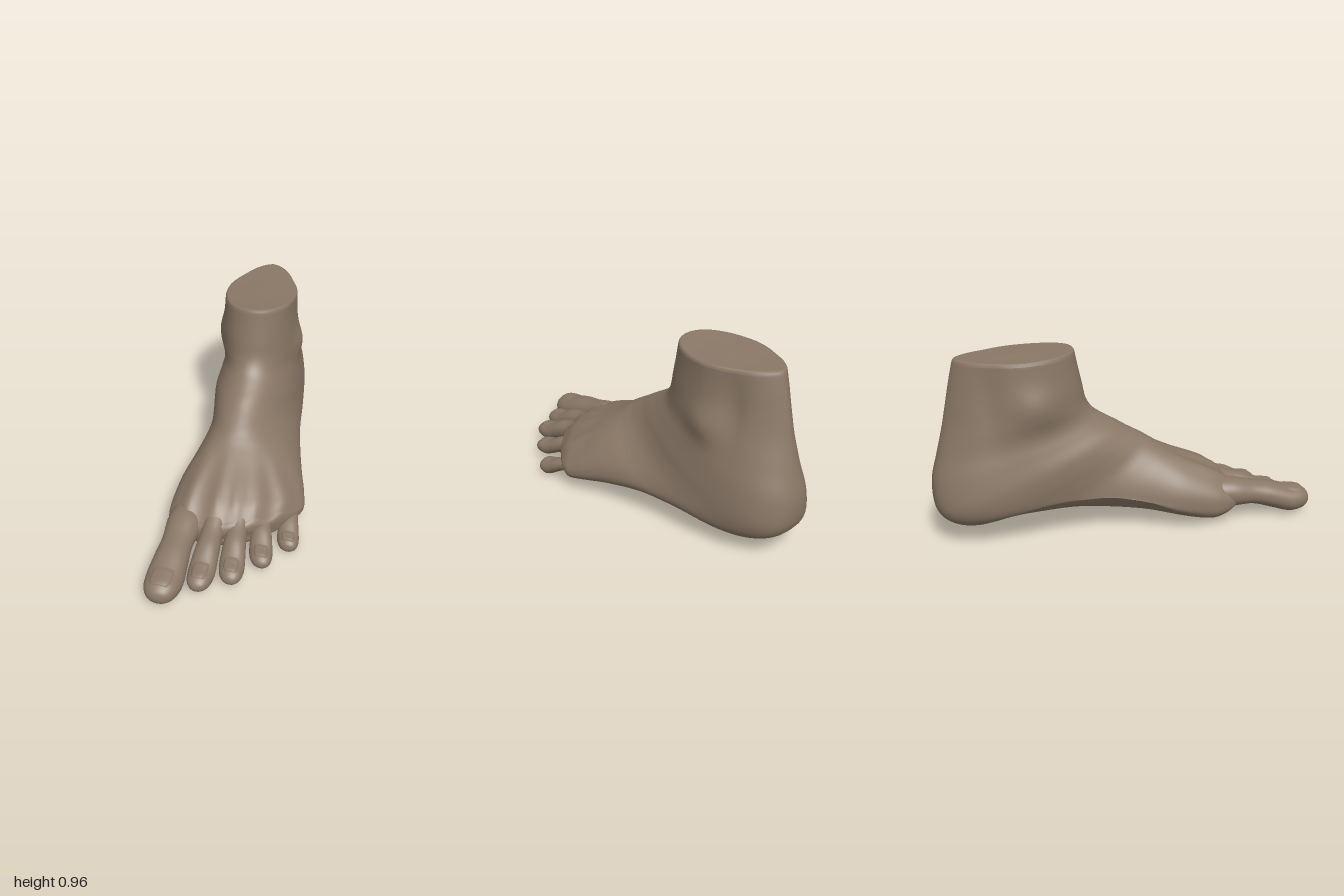
import * as THREE from 'three';

const skin = new THREE.MeshStandardMaterial({ color: 0x8a7866 });
skin.name = 'skin';

// Grid surface from f(i, j); optionally wrapped around in j
function gridMesh(name, rows, cols, f, wrap) {
  const pos = [], idx = [];
  const n = wrap ? cols : cols + 1;
  for (let i = 0; i <= rows; i++)
    for (let j = 0; j < n; j++) pos.push(...f(i / rows, j / cols));
  for (let i = 0; i < rows; i++)
    for (let j = 0; j < cols; j++) {
      const a = i * n + j, b = i * n + (j + 1) % n;
      idx.push(a, a + n, b, b, a + n, b + n);
    }
  const g = new THREE.BufferGeometry();
  g.setAttribute('position', new THREE.Float32BufferAttribute(pos, 3));
  g.setIndex(idx);
  g.computeVertexNormals();
  const mesh = new THREE.Mesh(g, skin);
  mesh.name = name;
  return mesh;
}

// Smooth interpolation through a table of rows, t in row units
function sample(table, t) {
  const last = table.length - 1;
  const i = Math.min(Math.max(Math.floor(t), 0), last - 1), u = t - i;
  const at = k => table[Math.min(Math.max(k, 0), last)];
  const [a, b, c, d] = [at(i - 1), at(i), at(i + 1), at(i + 2)];
  return b.map((_, k) => b[k] + 0.5 * u * (c[k] - a[k] + u * (2 * a[k] - 5 * b[k] + 4 * c[k] - d[k]
    + u * (3 * (b[k] - c[k]) + d[k] - a[k]))));
}

// Sections fan from the horizontal ankle cut to the upright ball of the foot.
// Upper z,y | lower z,y | inner x, outer x, middle x | widest height | upper, lower roundness | sweep | arch
const upperSections = [
  [-0.26, 0.945, -0.86, 0.925, -0.262, 0.125, -0.07, 0.54, 2.1, 1.6, 0, 0],
  [-0.245, 0.87, -0.88, 0.84, -0.267, 0.125, -0.07, 0.54, 2.1, 1.6, 0, 0],
  [-0.225, 0.78, -0.905, 0.72, -0.275, 0.13, -0.07, 0.53, 2.1, 1.6, 0, 0],
  [-0.205, 0.695, -0.93, 0.60, -0.275, 0.137, -0.07, 0.52, 2.05, 1.7, 0, 0],
  [-0.165, 0.635, -0.965, 0.46, -0.268, 0.142, -0.07, 0.5, 2, 2.0, 0, 0],
  [-0.10, 0.59, -0.997, 0.32, -0.285, 0.155, -0.07, 0.5, 1.95, 2.4, 0, 0],
  [-0.04, 0.555, -0.985, 0.18, -0.303, 0.167, -0.07, 0.5, 1.9, 2.75, 0, 0],
  [0.015, 0.52, -0.90, 0.10, -0.30, 0.175, -0.07, 0.45, 1.9, 2.8, 0, 0.01],
];
const lowerSections = [
  [0.07, 0.488, -0.75, 0.065, -0.285, 0.187, -0.07, 0.4, 1.9, 2.7, 0, 0.04],
  [0.115, 0.46, -0.50, 0.08, -0.27, 0.207, -0.07, 0.36, 1.9, 2.6, 0, 0.11],
  [0.155, 0.433, -0.25, 0.09, -0.275, 0.24, -0.08, 0.35, 1.9, 2.7, 0.1, 0.14],
  [0.205, 0.402, 0, 0.06, -0.30, 0.28, -0.09, 0.35, 1.85, 2.7, 0.25, 0.09],
  [0.30, 0.355, 0.20, 0.03, -0.335, 0.31, -0.10, 0.35, 1.85, 2.6, 0.6, 0.03],
  [0.42, 0.302, 0.40, 0.01, -0.345, 0.327, -0.10, 0.36, 1.95, 2.5, 1.1, 0],
  [0.50, 0.258, 0.49, 0.02, -0.333, 0.33, -0.09, 0.38, 2.05, 2.4, 1.35, 0],
  [0.56, 0.205, 0.54, 0.05, -0.31, 0.32, -0.08, 0.42, 2.1, 2.3, 1.5, 0],
];
const sections = [...upperSections, ...lowerSections];

// Inset and axial offset of the closing rings at each end
const cutCap = [[0, 0.012], [0.4, 0.013], [0.8, 0.016], [0.93, 0.019], [0.97, 0.017], [0.99, 0.01]];
const frontCap = [[0.93, 0.015], [0.8, 0.027], [0.5, 0.036], [0, 0.038]];

// root x,z | tip x,z | half width | root top, tip top, underside
const toes = [
  ['bigToe', -0.228, 0.42, -0.243, 0.995, 0.094, 0.25, 0.158, 0.01],
  ['secondToe', -0.075, 0.38, -0.08, 0.89, 0.067, 0.275, 0.14, 0.03],
  ['thirdToe', 0.02, 0.35, 0.065, 0.81, 0.064, 0.27, 0.135, 0.03],
  ['fourthToe', 0.115, 0.27, 0.188, 0.665, 0.06, 0.235, 0.12, 0.025],
  ['littleToe', 0.245, 0.18, 0.293, 0.50, 0.057, 0.175, 0.095, 0.0],
];

const power = (v, e) => Math.sign(v) * Math.abs(v) ** (2 / e);

// Soft spot in the side of the ankle, centred on y, z
const spot = (y, z, y0, z0, ry, rz) => Math.exp(-(((y - y0) / ry) ** 2) - ((z - z0) / rz) ** 2);

function bodyPoint(t, v, inset, push) {
  const [dz, dy, pz, py, xl, xr, xm, h, eT, eB, sweep, arch] = sample(sections, t);
  const a = v * Math.PI * 2, s = Math.sin(a), c = Math.cos(a);
  // The inner side of the instep is fuller than the outer side
  const fuller = s < 0 ? 0.4 * THREE.MathUtils.smoothstep(dz, -0.15, 0.15) : 0;
  const e = c > 0 ? eT + fuller : eB;
  const side = power(s, e) * inset, up = power(c, e) * inset;
  const cy = py + (dy - py) * h, cz = pz + (dz - pz) * h;
  const k = Math.abs(up);
  let x = xm + side * (side > 0 ? xr - xm : xm - xl);
  let y = cy + k * ((up > 0 ? dy : py) - cy);
  let z = cz + k * ((up > 0 ? dz : pz) - cz);
  // Inner arch
  if (c < 0 && s < 0) y += arch * Math.abs(Math.sin(2 * a)) * inset;
  // Tendon ridges leading to the toes
  const r = THREE.MathUtils.smoothstep(dz, 0.1, 0.5);
  if (c > 0 && r > 0) {
    let ridge = -0.6;
    for (const toe of toes) {
      const line = -0.08 + (toe[1] + 0.08) * (0.65 + 0.35 * r);
      ridge += Math.exp(-(((x - line) / 0.04) ** 2));
    }
    y += 0.022 * r * ridge * THREE.MathUtils.smoothstep(c, 0, 0.6) * inset;
  }
  // Ankle bones, and the hollows between them and the heel tendon
  const flank = Math.abs(s) * inset;
  if (s < 0) x -= flank * (0.022 * spot(y, z, 0.71, -0.47, 0.09, 0.11) - 0.018 * spot(y, z, 0.76, -0.71, 0.2, 0.07));
  else x += flank * (0.024 * spot(y, z, 0.64, -0.56, 0.09, 0.1) - 0.028 * spot(y, z, 0.74, -0.7, 0.17, 0.06));
  // Sweep the outer edge back; push the closing rings outwards
  z -= sweep * Math.max(0, x + 0.1) ** 2;
  if (t <= 0) y += push - 0.012 * (1 - up ** 2) * inset;
  else z += push;
  return [x, y, z];
}

function makeBody() {
  const rings = cutCap.map(([inset, push]) => [0, inset, push]);
  const steps = (sections.length - 1) * 6;
  for (let i = 0; i <= steps; i++) rings.push([i / 6, 1, 0]);
  for (const [inset, push] of frontCap) rings.push([sections.length - 1, inset, push]);
  const n = rings.length - 1;
  return gridMesh('footBody', n, 120, (u, v) => {
    const [t, inset, push] = rings[Math.round(u * n)];
    return bodyPoint(t, v, inset, push);
  }, true);
}

// Along the toe | width | root-to-tip height mix | underside lift | height
const toeProfile = [
  [0, 0.85, 0.1, 0.06, 0.9],
  [0.22, 0.95, 0.2, 0.065, 1],
  [0.42, 0.84, 0.5, 0.065, 1],
  [0.6, 0.92, 0.68, 0.035, 1],
  [0.78, 1, 1, 0.003, 1],
  [0.9, 0.87, 1.05, 0, 0.89],
  [0.965, 0.6, 1.08, 0, 0.62],
  [0.992, 0.3, 1.1, 0, 0.31],
  [1, 0, 1.1, 0, 0],
];

function toePoint(toe, u, v, lift = 0) {
  const [, x0, z0, x1, z1, half, top0, top1, under] = toe;
  const [s, w, mix, raise, tall] = sample(toeProfile, u * (toeProfile.length - 1));
  const a = v * Math.PI * 2;
  const top = top0 + (top1 - top0) * mix, bottom = under + raise;
  const cy = (top + bottom) / 2, hy = (top - bottom) / 2 * tall;
  return [
    x0 + (x1 - x0) * s + power(Math.sin(a), 2.1) * (half * w + lift),
    cy + power(Math.cos(a), 2.1) * (hy + lift),
    z0 + (z1 - z0) * s + lift * 0.5,
  ];
}

function makeToe(toe) {
  const group = new THREE.Group();
  group.name = toe[0];
  group.add(gridMesh('toe', 48, 40, (u, v) => toePoint(toe, u, v), true));
  // Nail plate: a raised patch that follows the toe
  group.add(gridMesh('nail', 20, 20, (u, v) => {
    const edge = Math.min(u * 5, (1 - u) * 10, v * 6, (1 - v) * 6, 1);
    const taper = 0.8 + 0.2 * Math.sin(u * Math.PI);
    return toePoint(toe, 0.47 + u * 0.2, (v - 0.5) * 0.23 * taper, -0.002 + 0.006 * edge);
  }, false));
  return group;
}

export function createModel() {
  const foot = new THREE.Group();
  foot.name = 'foot';
  foot.add(makeBody());
  for (const toe of toes) foot.add(makeToe(toe));
  return foot;
}
